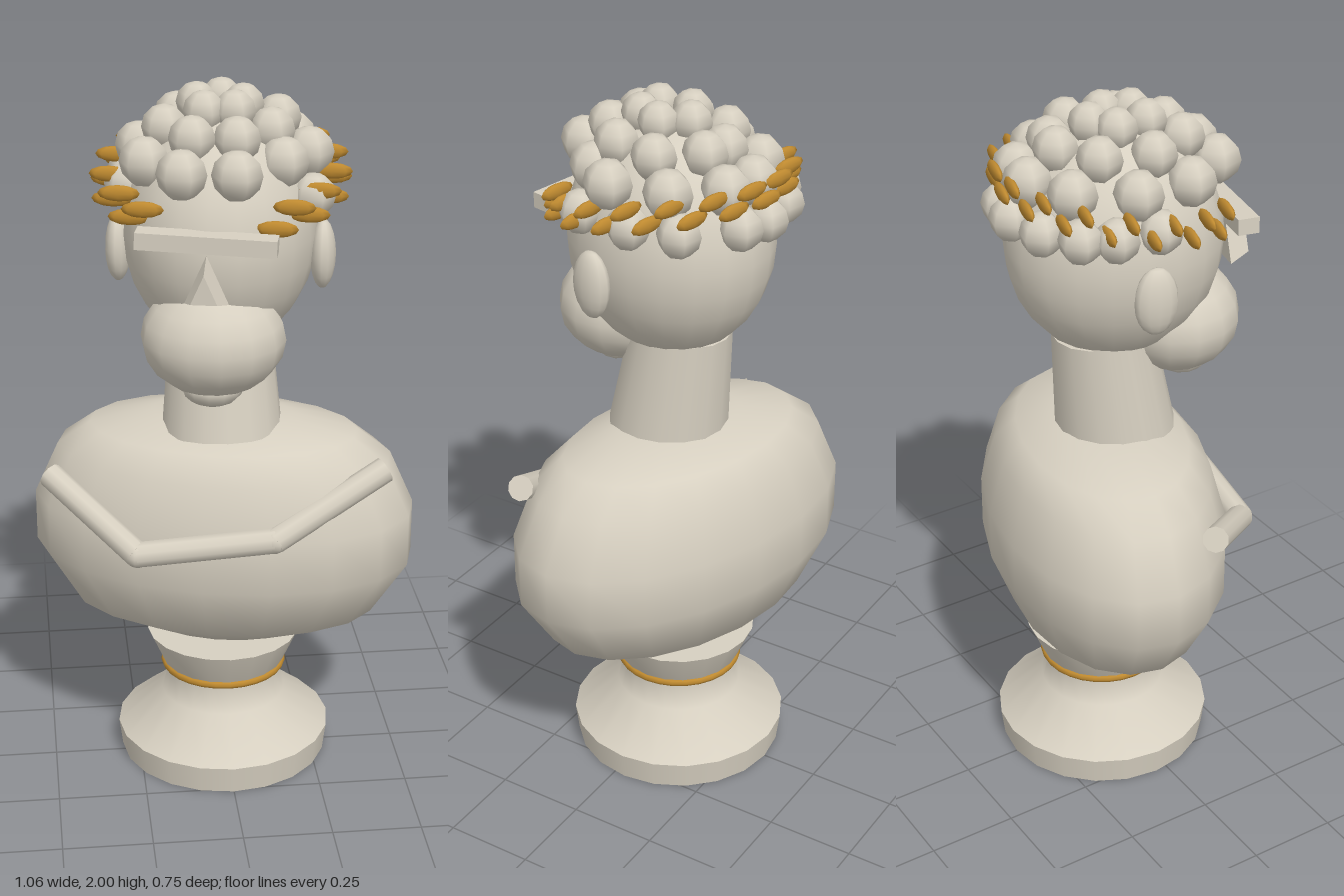
import * as THREE from 'three';

const stone = new THREE.MeshStandardMaterial({ color: 0xd6cfc0 });
stone.name = 'stone';
const gold = new THREE.MeshStandardMaterial({ color: 0xbf8a30 });
gold.name = 'gold';

const YAW = -0.22;

function add(parent, name, geometry, material, x = 0, y = 0, z = 0) {
  const mesh = new THREE.Mesh(geometry, material);
  mesh.name = name;
  mesh.position.set(x, y, z);
  parent.add(mesh);
  return mesh;
}

function ellipsoid(rx, ry, rz, w = 16, h = 12) {
  return new THREE.SphereGeometry(1, w, h).scale(rx, ry, rz);
}

function lathe(points, segments) {
  return new THREE.LatheGeometry(points.map(([r, y]) => new THREE.Vector2(r, y)), segments);
}

// Solid rod between two points
function rod(parent, name, a, b, rBottom, rTop, sides) {
  const dir = b.clone().sub(a);
  const mesh = add(parent, name, new THREE.CylinderGeometry(rTop, rBottom, dir.length(), sides), stone);
  mesh.position.copy(a).add(b).multiplyScalar(0.5);
  mesh.quaternion.setFromUnitVectors(new THREE.Vector3(0, 1, 0), dir.normalize());
  return mesh;
}

function buildPedestal() {
  const g = new THREE.Group();
  g.name = 'pedestal';
  g.position.z = -0.035;
  add(g, 'plinth', new THREE.CylinderGeometry(0.31, 0.3, 0.08, 20), stone, 0, 0.04, 0);
  add(g, 'stem', lathe([[0.31, 0.08], [0.18, 0.185], [0.158, 0.27], [0.178, 0.29], [0.22, 0.385]], 20), stone);
  const top = add(g, 'stemTop', new THREE.CircleGeometry(0.22, 20), stone, 0, 0.385, 0);
  top.rotation.x = -Math.PI / 2;
  const ring = add(g, 'goldRing', new THREE.TorusGeometry(0.17, 0.012, 8, 28), gold, 0, 0.277, 0);
  ring.rotation.x = Math.PI / 2;
  return g;
}

function buildTorso() {
  const g = new THREE.Group();
  g.name = 'torso';
  const body = add(g, 'shoulders', lathe([
    [0, 0.405], [0.225, 0.405], [0.44, 0.49], [0.543, 0.65], [0.543, 0.8],
    [0.475, 0.95], [0.38, 1.02], [0.2, 1.06], [0, 1.068],
  ], 18), stone, 0, 0, -0.035);
  body.scale.z = 0.6;
  body.rotation.y = -0.275;

  // Draped fold across the chest
  const fold = [[-0.49, 0.91, 0.015], [-0.265, 0.77, 0.26], [0.105, 0.815, 0.305], [0.42, 0.97, 0.21]]
    .map((p) => new THREE.Vector3(...p));
  for (let i = 0; i < 3; i++) rod(g, 'drapeFold', fold[i], fold[i + 1], 0.036, 0.036, 10);
  for (const p of fold.slice(1, 3)) add(g, 'drapeBend', new THREE.SphereGeometry(0.036, 10, 8), stone, p.x, p.y, p.z);

  rod(g, 'neck', new THREE.Vector3(-0.007, 1.025, 0.005), new THREE.Vector3(-0.008, 1.36, -0.04), 0.168, 0.138, 16);
  return g;
}

function buildHead() {
  const g = new THREE.Group();
  g.name = 'head';
  g.position.x = -0.01;
  g.rotation.y = YAW;
  add(g, 'skull', ellipsoid(0.262, 0.325, 0.298, 20, 14), stone, 0, 1.61, 0);
  add(g, 'beard', ellipsoid(0.195, 0.155, 0.18, 14, 10), stone, 0, 1.358, 0.172);
  add(g, 'chin', ellipsoid(0.085, 0.055, 0.08, 12, 8), stone, 0, 1.23, 0.195);
  const brow = add(g, 'brow', new THREE.BoxGeometry(0.365, 0.045, 0.06), stone, 0, 1.665, 0.308);
  brow.rotation.z = -0.03;
  for (const s of [-1, 1]) add(g, 'ear', ellipsoid(0.035, 0.095, 0.06, 12, 10), stone, s * 0.277, 1.55, 0.015);

  // Three-sided tapered nose with its point upward
  const shape = new THREE.CylinderGeometry(0.6, 1, 1, 3).toNonIndexed();
  shape.rotateX(Math.PI / 2).rotateZ(Math.PI).scale(0.067, 0.087, 0.06);
  shape.computeVertexNormals();
  add(g, 'nose', shape, stone, 0, 1.545, 0.345);

  // Wreath open above the brow and rising toward the back
  const wreath = new THREE.Group();
  wreath.name = 'wreath';
  g.add(wreath);
  const leaf = ellipsoid(0.056, 0.022, 0.013, 8, 6);
  const count = 28;
  const gap = 0.63;
  for (let i = 0; i < count; i++) {
    const a = gap + (i / (count - 1)) * (2 * Math.PI - 2 * gap);
    const y = 1.755 - 0.06 * Math.cos(a) + (i % 2 ? 0.02 : -0.02);
    add(wreath, 'leaf', leaf, gold, 0.295 * Math.sin(a), y, -0.005 + 0.31 * Math.cos(a));
  }
  return g;
}

function buildHair() {
  const g = new THREE.Group();
  g.name = 'hair';
  // Rows of curls: height, radius, then x and z of each curl
  const rows = [
    { y: 1.945, r: 0.056, at: [[0, -0.07], [-0.07, -0.03], [0.05, 0], [0.02, 0.07], [-0.06, 0.065]] },
    { y: 1.895, r: 0.062, at: [[0.065, -0.15], [0, -0.17], [-0.115, -0.11], [-0.16, 0.025],
      [-0.1, 0.15], [0.015, 0.17], [0.115, 0.085], [0.15, -0.05]] },
    { y: 1.825, r: 0.067, at: [[-0.22, -0.06], [-0.22, 0.1], [-0.135, 0.235], [0.005, 0.26], [0.14, 0.14],
      [0.22, 0.045], [0.195, -0.12], [0.095, -0.23], [-0.13, -0.2], [0, -0.255]] },
    { y: 1.73, r: 0.06, at: [[0.22, 0.13], [0.24, -0.03], [0.215, -0.165], [0.095, -0.275], [0.01, -0.3],
      [-0.11, -0.28], [-0.2, -0.22], [-0.245, -0.14], [-0.26, -0.02]] },
  ];
  for (const { y, r, at } of rows) {
    const curl = new THREE.SphereGeometry(r, 6, 6);
    for (const [x, z] of at) add(g, 'curl', curl, stone, x, y, z).rotation.y = YAW;
  }
  return g;
}

export function createModel() {
  const model = new THREE.Group();
  model.name = 'bust';
  model.add(buildPedestal(), buildTorso(), buildHead(), buildHair());
  return model;
}
